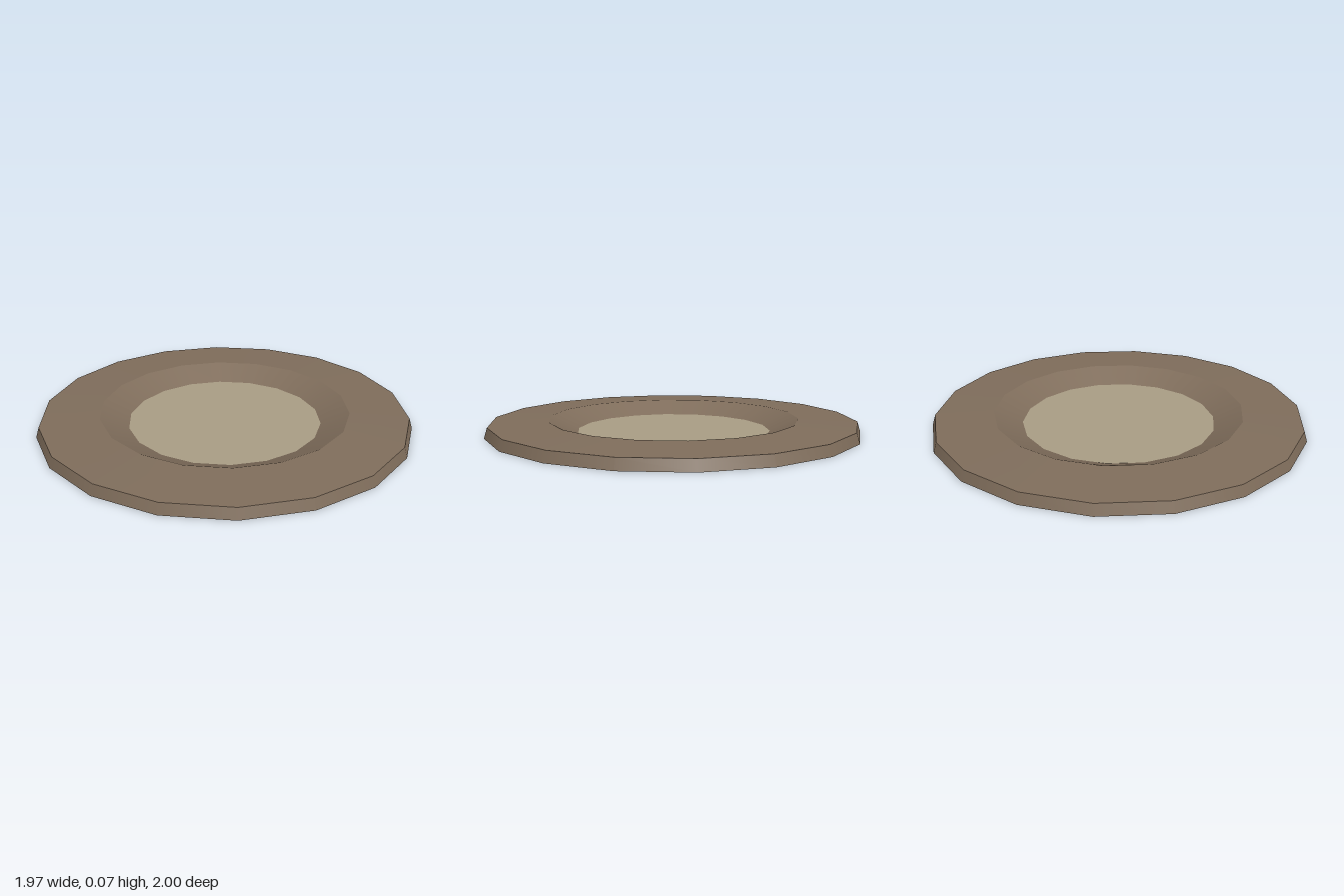
import * as THREE from 'three';

const SIDES = 18;

export function createModel() {
  const brown = new THREE.MeshStandardMaterial({ color: 0x7f6d5b, side: THREE.DoubleSide });
  brown.name = 'brown';
  const beige = new THREE.MeshStandardMaterial({ color: 0xa99d85, side: THREE.DoubleSide });
  beige.name = 'beige';

  const group = new THREE.Group();
  group.name = 'dish';

  // One band of the open shell between two [radius, height] points;
  // separate bands keep the edges between them sharp.
  function band(name, from, to) {
    const points = [from, to].map(([r, y]) => new THREE.Vector2(r, y));
    const mesh = new THREE.Mesh(new THREE.LatheGeometry(points, SIDES), brown);
    mesh.name = name;
    group.add(mesh);
  }

  const foot = [1, 0], shoulder = [0.983, 0.055], lip = [0.67, 0.068], well = [0.52, 0];
  band('outerWall', foot, shoulder);
  band('rim', shoulder, lip);
  band('innerSlope', lip, well);

  // Flat centre, with corners aligned to the bands
  const disc = new THREE.CircleGeometry(well[0], SIDES, Math.PI / 2);
  disc.rotateX(-Math.PI / 2);
  const centre = new THREE.Mesh(disc, beige);
  centre.name = 'centreDisc';
  group.add(centre);

  return group;
}
